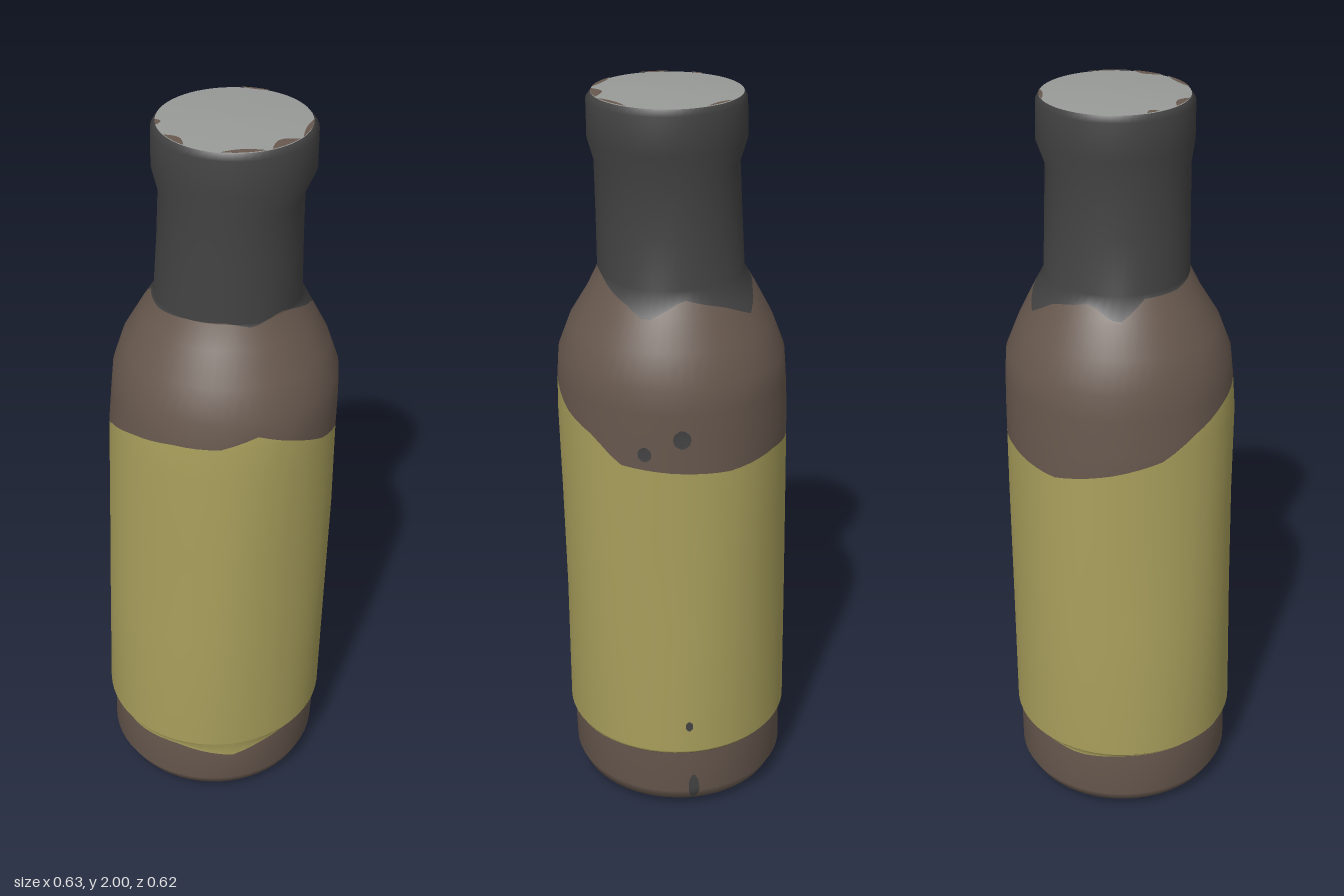
import * as THREE from 'three';

const SIDES = 60;

// Bottle outline: height, left x, right x, back z, front z
const RINGS = [
  [0.0, -0.02, -0.01, -0.005, 0.005],
  [0.015, -0.25, 0.22, -0.24, 0.23],
  [0.03, -0.29, 0.265, -0.28, 0.28],
  [0.065, -0.31, 0.28, -0.298, 0.298],
  [0.203, -0.305, 0.288, -0.297, 0.297],
  [0.216, -0.32, 0.297, -0.307, 0.309],
  [0.6, -0.31, 0.304, -0.306, 0.31],
  [0.9, -0.299, 0.311, -0.305, 0.309],
  [1.15, -0.289, 0.312, -0.303, 0.308],
  [1.25, -0.28, 0.314, -0.3, 0.302],
  [1.32, -0.273, 0.312, -0.295, 0.295],
  [1.4, -0.247, 0.285, -0.262, 0.264],
  [1.48, -0.2, 0.243, -0.222, 0.215],
  [1.54, -0.163, 0.212, -0.19, 0.186],
  [1.68, -0.153, 0.21, -0.184, 0.186],
  [1.82, -0.146, 0.21, -0.178, 0.187],
  [1.88, -0.162, 0.238, -0.198, 0.196],
  [1.975, -0.161, 0.238, -0.195, 0.196],
  [1.99, -0.15, 0.225, -0.187, 0.185],
];

// Wavy borders: angle from the front towards +x in degrees, height
const LABEL_BOTTOM = [[0, 0.17], [12, 0.158], [28, 0.185], [42, 0.2], [75, 0.2], [100, 0.206], [200, 0.206],
  [225, 0.19], [250, 0.2], [290, 0.2], [315, 0.185], [340, 0.19], [360, 0.17]];
const LABEL_TOP = [[0, 1.25], [18, 1.28], [40, 1.235], [60, 1.19], [80, 1.16], [95, 1.1], [120, 1.09], [150, 1.08],
  [180, 1.09], [215, 1.07], [245, 1.1], [270, 1.13], [288, 1.18], [310, 1.22], [335, 1.245], [360, 1.25]];
const COLLAR_BOTTOM = [[0, 1.545], [20, 1.53], [45, 1.55], [65, 1.53], [90, 1.5], [105, 1.47], [130, 1.52], [160, 1.49],
  [180, 1.455], [200, 1.5], [230, 1.52], [250, 1.48], [270, 1.53], [300, 1.53], [330, 1.54], [360, 1.545]];

// Linear lookup in a table whose first column is the key
function lookup(table, key) {
  let i = 1;
  while (i < table.length - 1 && table[i][0] < key) i++;
  const a = table[i - 1], b = table[i];
  const t = THREE.MathUtils.clamp((key - a[0]) / (b[0] - a[0]), 0, 1);
  return a.map((v, k) => v + (b[k] - v) * t);
}

// Point on the bottle wall, with soft creases in the label area
function wall(angle, y, offset = 0) {
  const [, x0, x1, z0, z1] = lookup(RINGS, y);
  const fade = THREE.MathUtils.smoothstep(y, 0.216, 0.4) * (1 - THREE.MathUtils.smoothstep(y, 0.8, 1.2));
  const r = 1 + 0.012 * fade * (Math.sin(5 * angle + 1) - 0.6);
  return [
    (x0 + x1) / 2 + Math.sin(angle) * ((x1 - x0) / 2 * r + offset), y,
    (z0 + z1) / 2 + Math.cos(angle) * ((z1 - z0) / 2 * r + offset),
  ];
}

// Grid of points from rows and columns; closed grids share the first column
function grid(rows, cols, closed, point) {
  const pos = [], index = [];
  for (let i = 0; i < rows; i++) for (let j = 0; j < cols; j++) pos.push(...point(i, j));
  for (let i = 0; i < rows - 1; i++) {
    for (let j = 0; j < (closed ? cols : cols - 1); j++) {
      const k = (j + 1) % cols;
      const a = i * cols + j, b = i * cols + k, c = b + cols, d = a + cols;
      index.push(a, b, c, a, c, d);
    }
  }
  const g = new THREE.BufferGeometry();
  g.setAttribute('position', new THREE.Float32BufferAttribute(pos, 3));
  g.setIndex(index);
  g.computeVertexNormals();
  return g;
}

// Part of the wall between two wavy borders
function band(low, high) {
  const ys = RINGS.map((r) => r[0]);
  return grid(ys.length + 2, SIDES, true, (i, j) => {
    const deg = j * 360 / SIDES;
    const lo = low ? lookup(low, deg)[1] : 0;
    const hi = high ? lookup(high, deg)[1] : 1.99;
    const y = i === 0 ? lo : i > ys.length ? hi : THREE.MathUtils.clamp(ys[i - 1], lo, hi);
    return wall(THREE.MathUtils.degToRad(deg), y);
  });
}

// Small oval mark lying on the wall
function spot(deg, y, width, height) {
  return grid(7, 2, false, (i, j) => {
    const t = i / 3 - 1;
    const half = Math.sqrt(1 - t * t * 0.95) * width / 2 / 0.3;
    return wall(THREE.MathUtils.degToRad(deg) + (j ? half : -half), y + t * height / 2, 0.003);
  });
}

export function createModel() {
  const mat = (name, color) => Object.assign(new THREE.MeshStandardMaterial({ color }), { name });
  const brown = mat('brown glass', 0x67584e);
  const yellow = mat('yellow label', 0xa99f5c);
  const dark = mat('dark collar', 0x434343);
  const grey = mat('grey lid', 0x989a98);

  const group = new THREE.Group();
  group.name = 'bottle';
  const add = (name, geometry, material) => {
    const mesh = new THREE.Mesh(geometry, material);
    mesh.name = name;
    group.add(mesh);
  };

  add('base', band(null, LABEL_BOTTOM), brown);
  add('label', band(LABEL_BOTTOM, LABEL_TOP), yellow);
  add('shoulder', band(LABEL_TOP, COLLAR_BOTTOM), brown);
  add('collar', band(COLLAR_BOTTOM, null), dark);

  // Lid closing the neck, slightly domed
  const lidPoint = (angle, s, lift = 0) => {
    const [x, , z] = wall(angle, 1.99);
    return [0.0375 + (x - 0.0375) * s, 1.998 - 0.008 * s * s + lift, z * s];
  };
  add('lid', grid(4, SIDES, true, (i, j) => lidPoint(j / SIDES * Math.PI * 2, [1, 0.7, 0.35, 0.001][i])), grey);

  // Worn patches along the lid edge
  for (const [deg, width, depth] of [[42, 26, 0.14], [8, 32, 0.08], [312, 22, 0.1], [278, 10, 0.07], [75, 30, 0.06], [165, 24, 0.05]]) {
    add('lidWear', grid(2, 9, false, (i, j) => {
      const t = j / 4 - 1;
      const angle = THREE.MathUtils.degToRad(deg + t * width / 2);
      return lidPoint(angle, i ? 1 - depth * (1 - t * t) - 0.005 : 1, 0.002);
    }), brown);
  }

  // Small dark marks on the glass
  for (const [deg, y, w, h] of [[108, 1.14, 0.035, 0.04], [126, 1.185, 0.045, 0.05], [128, 0.3, 0.02, 0.03], [130, 0.08, 0.03, 0.09]]) {
    add('darkMark', spot(deg, y, w, h), dark);
  }
  return group;
}
